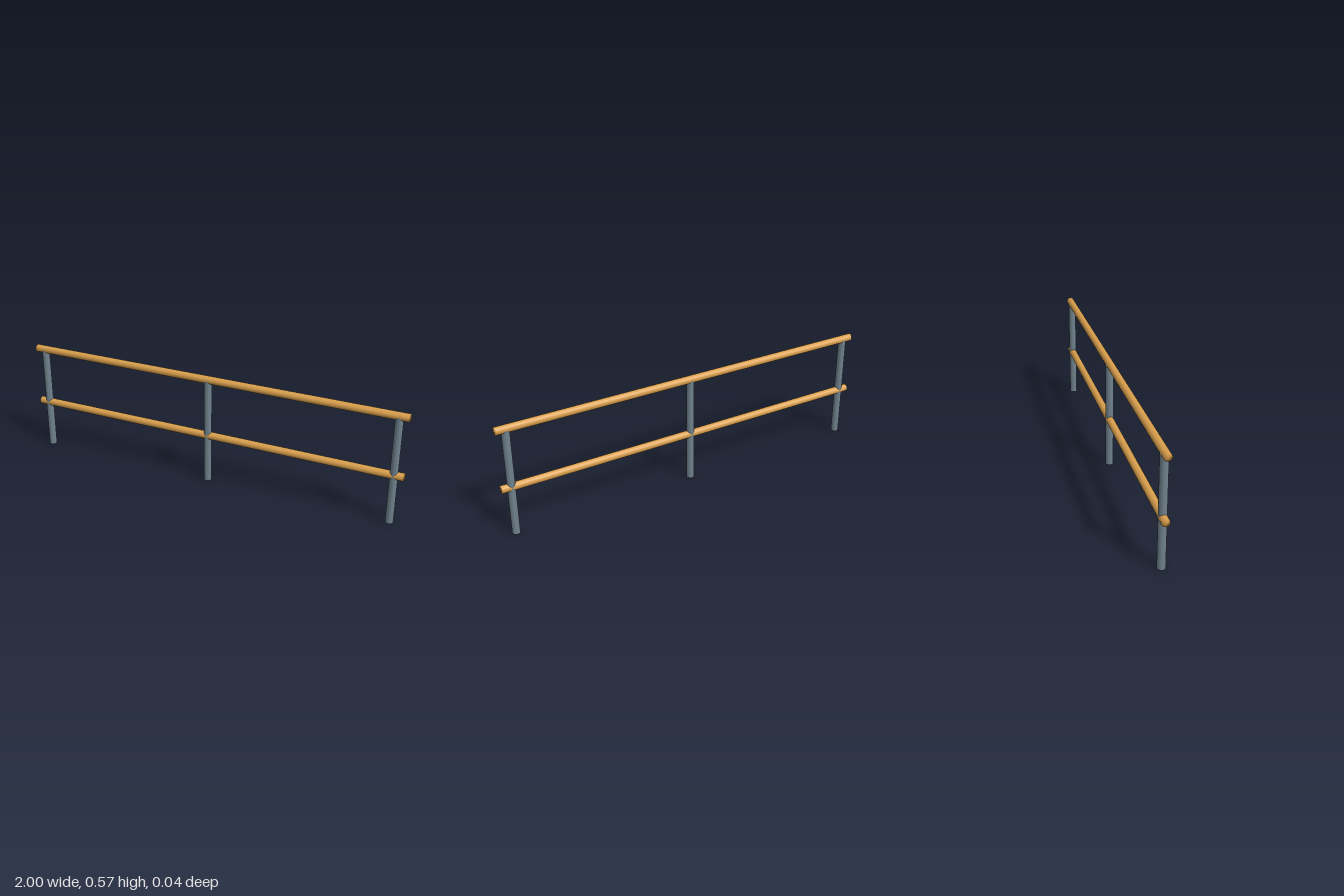
import * as THREE from 'three';
import { mergeVertices } from 'three/addons/utils/BufferGeometryUtils.js';

const RADIUS = 0.0195;

// Round bar whose normals blend smoothly over the flat end caps
function bar(length) {
  const g = new THREE.CylinderGeometry(RADIUS, RADIUS, length, 16);
  g.deleteAttribute('uv');
  g.deleteAttribute('normal');
  const merged = mergeVertices(g, 1e-5);
  merged.computeVertexNormals();
  return merged;
}

export function createModel() {
  const group = new THREE.Group();
  group.name = 'railing';
  const wood = new THREE.MeshStandardMaterial({ name: 'warm wood', color: 0xd99f4c });
  const steel = new THREE.MeshStandardMaterial({ name: 'slate steel', color: 0x6f818c });

  // Three upright posts, ending inside the top rail
  const postHeight = 0.55;
  const postGeometry = bar(postHeight);
  [['rightPost', -0.95], ['middlePost', 0], ['leftPost', 0.95]].forEach(([name, x]) => {
    const post = new THREE.Mesh(postGeometry, steel);
    post.name = name;
    post.position.set(x, postHeight / 2, 0);
    group.add(post);
  });

  // Two full-length horizontal rails
  const railGeometry = bar(2).rotateZ(Math.PI / 2);
  [['lowerRail', 0.25], ['topRail', 0.55]].forEach(([name, y]) => {
    const rail = new THREE.Mesh(railGeometry, wood);
    rail.name = name;
    rail.position.y = y;
    group.add(rail);
  });

  return group;
}
